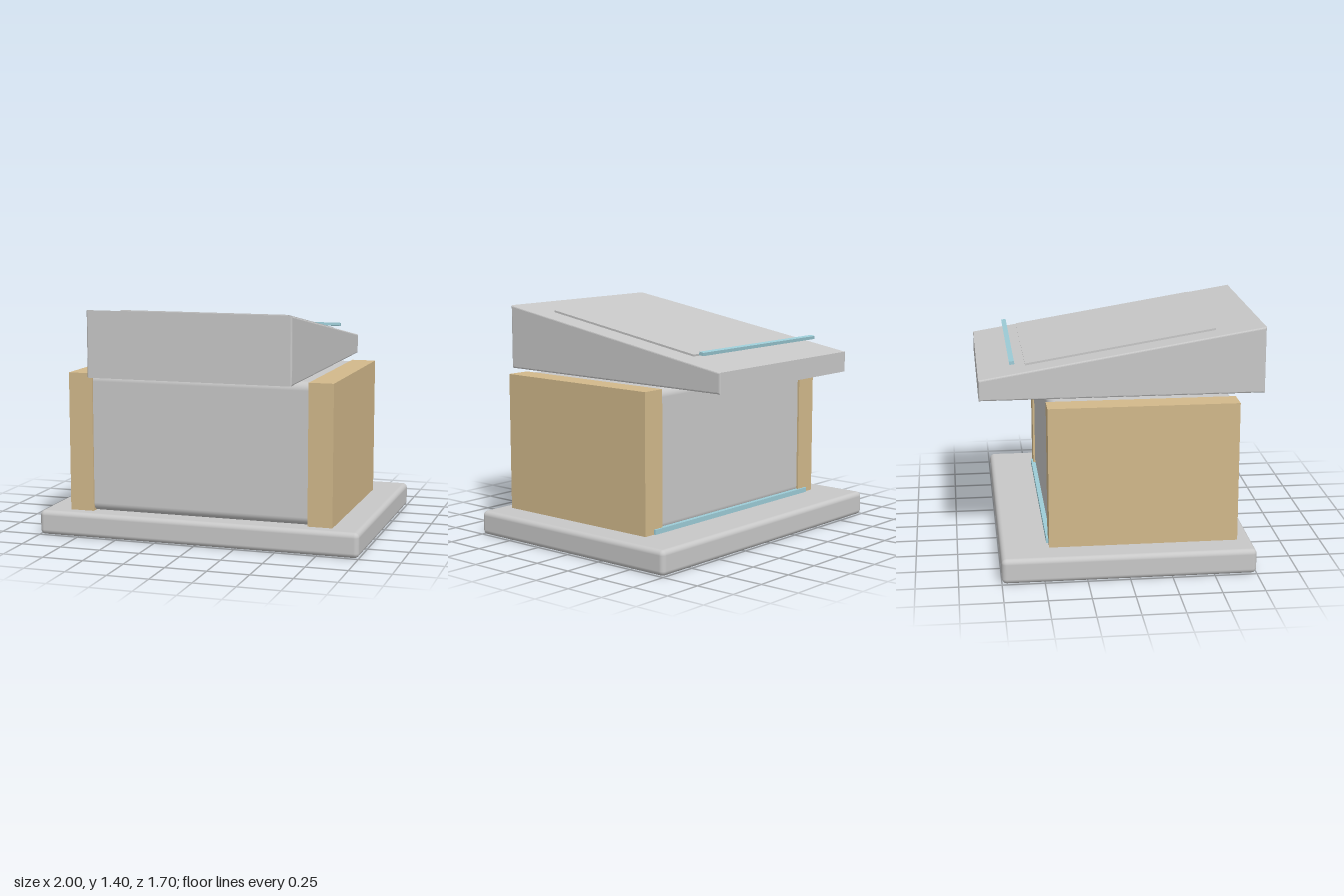
import * as THREE from 'three';
import { RoundedBoxGeometry } from 'three/addons/geometries/RoundedBoxGeometry.js';

function material(name, color) {
  const m = new THREE.MeshStandardMaterial({ color });
  m.name = name;
  return m;
}

export function createModel() {
  const group = new THREE.Group();
  const grey = material('lightGrey', 0xc8c8c8);
  const tan = material('tanWood', 0xd2b98b);
  const blue = material('paleBlue', 0x9dccd7);

  function add(name, geometry, mat, x, y, z, tilt = 0) {
    const mesh = new THREE.Mesh(geometry, mat);
    mesh.name = name;
    mesh.position.set(x, y, z);
    mesh.rotation.x = tilt;
    group.add(mesh);
    return mesh;
  }

  // Rounded plinth and cabinet body
  add('base', new RoundedBoxGeometry(2, 0.15, 1.5, 4, 0.03), grey, 0, 0.075, 0);
  add('body', new RoundedBoxGeometry(1.648, 0.85, 1.1, 4, 0.05), grey, 0, 0.574, 0.1);

  // Side panels, slightly proud of the body
  for (const side of [-1, 1]) {
    add(side > 0 ? 'leftSidePanel' : 'rightSidePanel',
      new THREE.BoxGeometry(0.15, 0.85, 1.125), tan, side * 0.75, 0.575, 0.1);
  }

  // Sloping top: side profile (z, y) extruded across x with a fine bevel
  const bevel = 0.01;
  const profile = new THREE.Shape([[-0.85, 1], [0.85, 1], [0.85, 1.4], [-0.85, 1.125]]
    .map(([z, y]) => new THREE.Vector2(-z, y)));
  const wedge = new THREE.ExtrudeGeometry(profile, {
    depth: 1.25 - 2 * bevel, bevelEnabled: true, bevelSize: bevel,
    bevelOffset: -bevel, bevelThickness: bevel, bevelSegments: 3,
  });
  wedge.translate(0, 0, -(1.25 - 2 * bevel) / 2).rotateY(Math.PI / 2);
  add('slopedTop', wedge, grey, 0, 0, 0);

  // Thin panel floating just above the slope, and the trim strips
  const tilt = -Math.atan2(0.275, 1.7);
  add('topPanel', new THREE.BoxGeometry(1.045, 0.012, 1.15), grey, 0, 1.281, -0.003, tilt);
  add('topStrip', new THREE.BoxGeometry(1.1, 0.02, 0.03), blue, 0, 1.208, -0.65, tilt);
  add('rearStrip', new THREE.BoxGeometry(1.5, 0.03, 0.03), blue, 0, 0.165, -0.46);

  return group;
}
